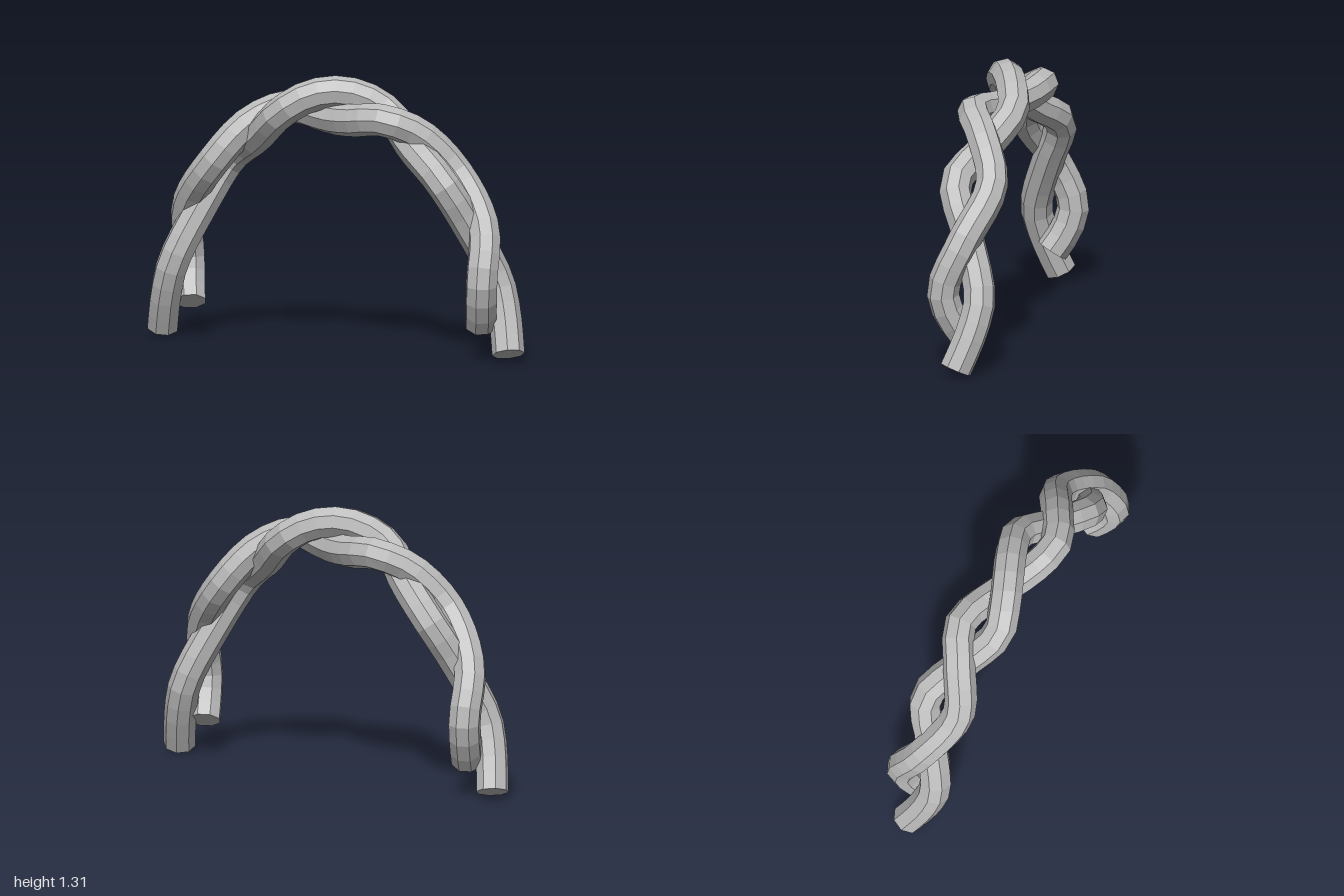
import * as THREE from 'three';

const RADIUS = 0.078, SIDES = 8, SEGMENTS = 42;

// Half paths from the crown down to the left foot
const overStrand = [
  [0, 1.235, 0], [0.12, 1.21, -0.055], [0.24, 1.135, -0.09], [0.41, 0.995, 0],
  [0.60, 0.865, 0.09], [0.71, 0.64, 0], [0.82, 0.37, -0.09], [0.875, 0.2, -0.06], [0.922, 0.037, 0],
];
const underStrand = [
  [0, 1.105, 0], [0.14, 1.115, 0.06], [0.29, 1.133, 0.09], [0.45, 1.06, 0],
  [0.605, 0.87, -0.09], [0.79, 0.63, 0], [0.825, 0.4, 0.09], [0.81, 0.28, 0.065], [0.775, 0.17, 0],
];

// The other half of each path is a half turn about the vertical axis
function fullCurve(half) {
  const right = half.map(p => new THREE.Vector3(...p));
  const left = right.slice(1).reverse().map(p => new THREE.Vector3(-p.x, p.y, -p.z));
  return new THREE.CatmullRomCurve3([...left, ...right]);
}

function strand(name, half, material) {
  const group = new THREE.Group();
  group.name = name;
  const curve = fullCurve(half);
  const tube = new THREE.TubeGeometry(curve, SEGMENTS, RADIUS, SIDES, false);
  const body = new THREE.Mesh(tube, material);
  body.name = name + 'Body';
  group.add(body);

  // Flat octagonal ends
  for (const [i, s, end] of [[0, -1, 'Right'], [SEGMENTS, 1, 'Left']]) {
    const cap = new THREE.Mesh(new THREE.CircleGeometry(RADIUS, SIDES), material);
    cap.name = name + end + 'End';
    const basis = new THREE.Matrix4().makeBasis(
      tube.normals[i],
      tube.binormals[i].clone().multiplyScalar(s),
      tube.tangents[i].clone().multiplyScalar(s));
    cap.geometry.applyMatrix4(basis);
    cap.position.copy(curve.getPointAt(i / SEGMENTS));
    group.add(cap);
  }
  return group;
}

export function createModel() {
  const grey = new THREE.MeshStandardMaterial({ color: 0xbcbcbc, flatShading: true });
  grey.name = 'light grey';
  const model = new THREE.Group();
  model.name = 'twistedArch';
  model.add(strand('overStrand', overStrand, grey), strand('underStrand', underStrand, grey));
  return model;
}
